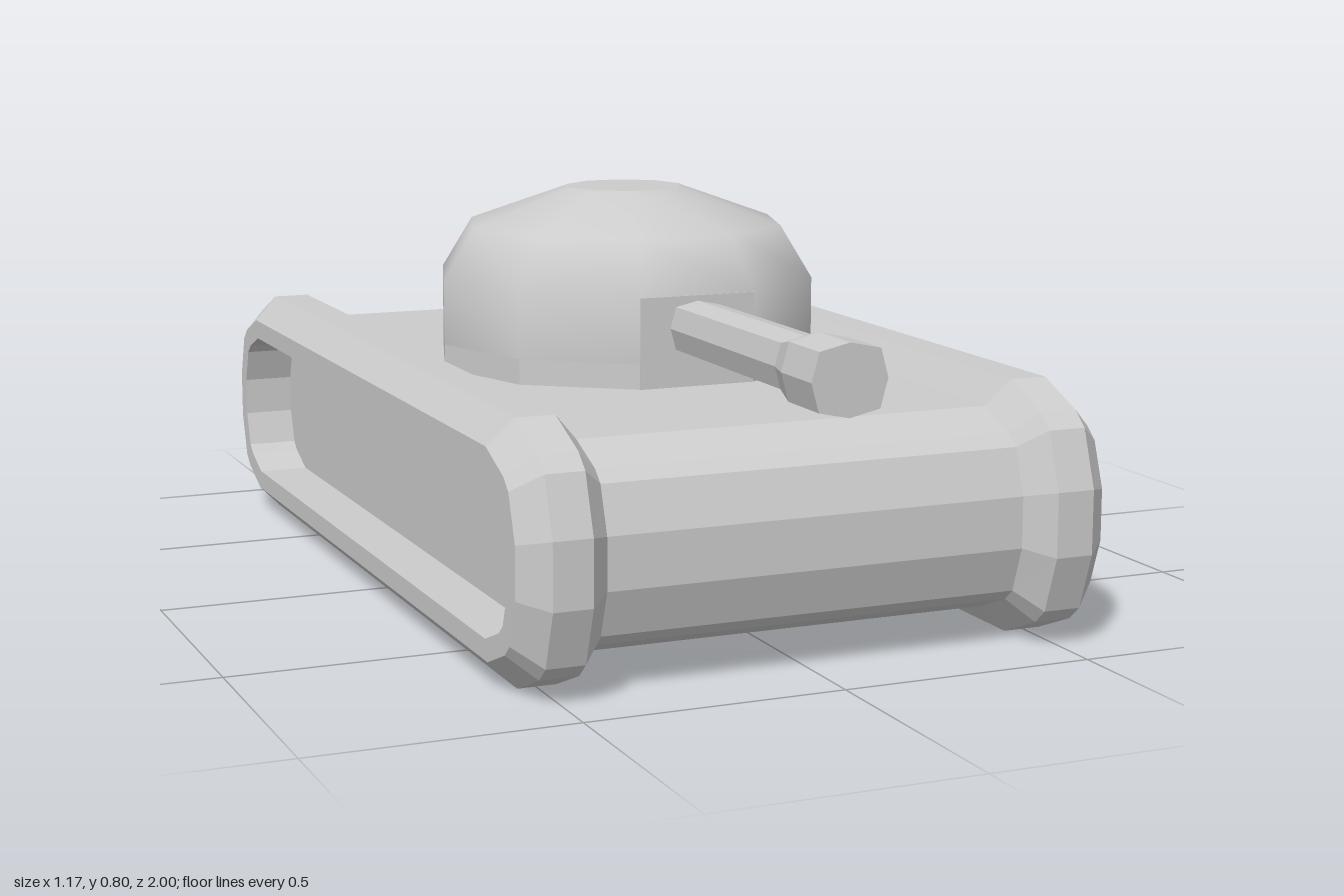
import * as THREE from 'three';

const MID_Z = -0.025;

function add(parent, name, geometry, flatShading = true) {
  const material = new THREE.MeshStandardMaterial({ color: 0xcccccc, flatShading });
  const mesh = new THREE.Mesh(geometry, material);
  mesh.name = name;
  parent.add(mesh);
  return mesh;
}

// Skin over rings of points (counter-clockwise about the travel axis), closed at both ends
function loft(rings) {
  const n = rings[0].length;
  const points = rings.flat();
  const index = [];
  for (let i = 0; i < rings.length - 1; i++) {
    for (let j = 0; j < n; j++) {
      const a = i * n + j, b = i * n + (j + 1) % n;
      index.push(a, b, a + n, b, b + n, a + n);
    }
  }
  for (const [start, flip] of [[0, true], [(rings.length - 1) * n, false]]) {
    const ring = points.slice(start, start + n);
    const centre = ring.reduce((s, p) => s.add(p), new THREE.Vector3()).divideScalar(n);
    const c = points.push(centre) - 1;
    for (let j = 0; j < n; j++) {
      const a = start + j, b = start + (j + 1) % n;
      index.push(c, flip ? b : a, flip ? a : b);
    }
  }
  const g = new THREE.BufferGeometry().setFromPoints(points);
  g.setIndex(index);
  g.computeVertexNormals();
  return g;
}

// Long rounded outline in the side plane, shrunk by an inset
function sideRing(x, inset) {
  const straight = 0.795 - 0.3 * inset;
  const sz = (0.18 - 0.7 * inset) / 0.18;
  const sy = (0.245 - inset) / 0.245;
  const quarter = [[0, 0.245], [0.11, 0.2], [0.142, 0.172], [0.18, 0.062]];
  const cap = [...quarter, ...quarter.map(([z, y]) => [z, -y]).reverse()];
  const front = cap.map(([z, y]) => [straight + z * sz, y * sy]);
  const outline = [...front, ...front.map(([z, y]) => [-z, -y])];
  return outline.map(([z, y]) => new THREE.Vector3(x, y + 0.245, z));
}

// Eight-sided barrel section
function barrelRing(z, s) {
  const corners = [[0.075, 0], [0.06, 0.054], [0, 0.067], [-0.06, 0.054],
    [-0.075, 0], [-0.06, -0.054], [0, -0.067], [0.06, -0.054]];
  return corners.map(([x, y]) => new THREE.Vector3(x * s, y * s, z));
}

export function createModel() {
  const model = new THREE.Group();
  model.name = 'tank';

  // Hull between the tracks
  const chassis = new THREE.Group();
  chassis.name = 'chassis';
  chassis.position.z = MID_Z;
  model.add(chassis);
  add(chassis, 'hull', loft([sideRing(-0.43, 0.05), sideRing(0.43, 0.05)]));

  // Bevelled tracks with a recessed outer side
  const section = [[0.415, 0.05], [0.46, 0], [0.535, 0], [0.585, 0.05], [0.585, 0.09], [0.48, 0.09]];
  const track = loft(section.map(([x, inset]) => sideRing(x, inset)));
  add(chassis, 'leftTrack', track);
  add(chassis, 'rightTrack', track).rotation.y = Math.PI;

  // Ten-sided turret: flat skirt, smooth dome and flat lid
  const turret = new THREE.Group();
  turret.name = 'turret';
  turret.position.z = MID_Z;
  model.add(turret);
  const lathe = (pts) => new THREE.LatheGeometry(
    pts.map(([r, y]) => new THREE.Vector2(r, y)), 10, Math.PI / 10);
  add(turret, 'turretSkirt', lathe([[0.395, 0.43], [0.395, 0.49]]));
  add(turret, 'turretDome', lathe([[0.395, 0.49], [0.395, 0.62], [0.33, 0.725], [0.12, 0.8]]), false);
  add(turret, 'turretLid', lathe([[0.12, 0.8], [0, 0.8]]));

  // Flat gun plate on the front facet
  const plate = add(turret, 'gunPlate', new THREE.BoxGeometry(0.242, 0.18, 0.02));
  plate.position.set(0, 0.53, 0.368);

  // Barrel with a wider muzzle
  const barrel = add(model, 'barrel', loft([
    barrelRing(0.3, 0.78), barrelRing(0.82, 0.78), barrelRing(0.88, 1), barrelRing(1, 1)]));
  barrel.position.y = 0.557;

  return model;
}
